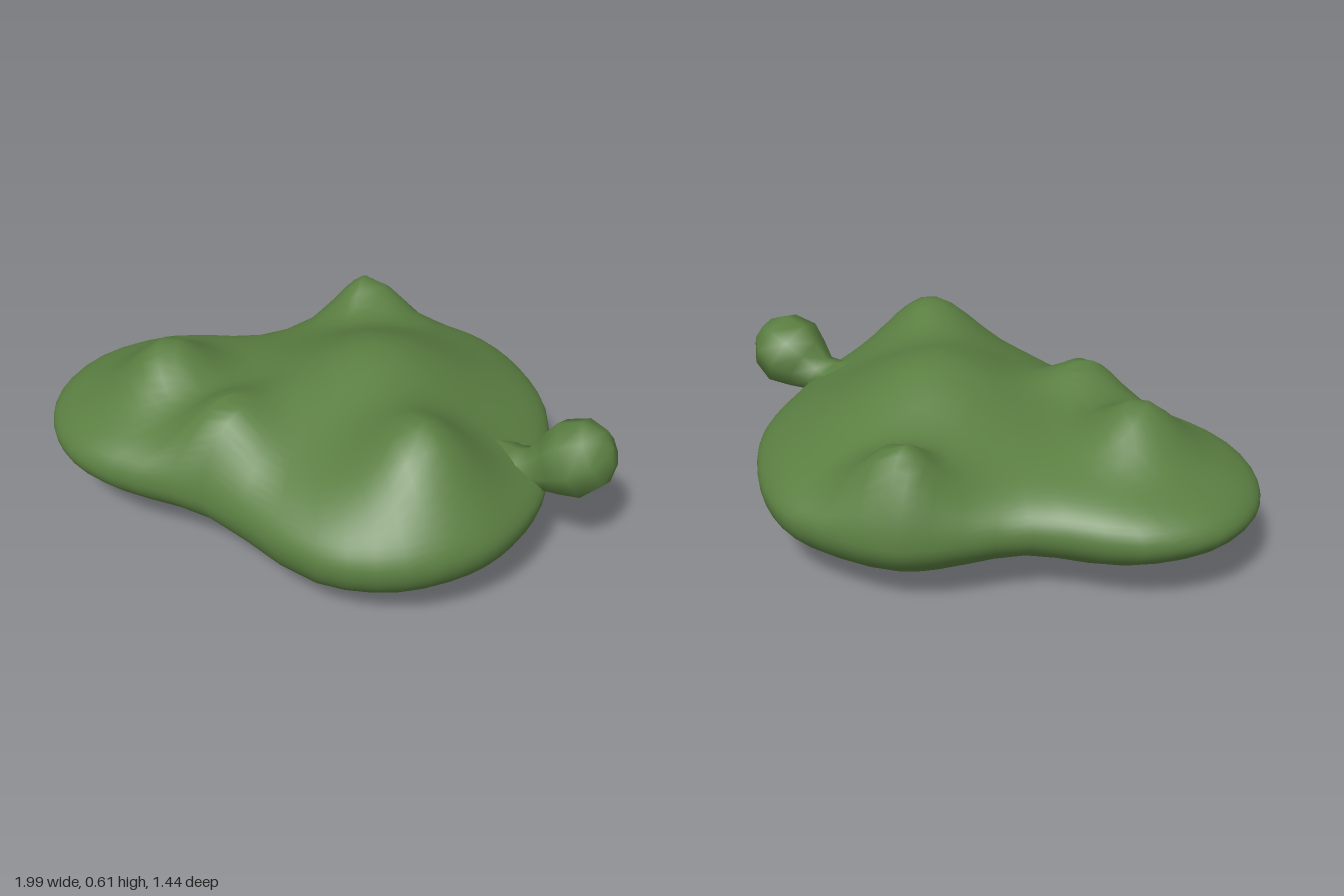
import * as THREE from 'three';
import { mergeVertices } from 'three/addons/utils/BufferGeometryUtils.js';

// Outline of the mound seen from above (x, z), starting at the left tip
const OUTLINE = [
  [-1, 0.13], [-0.97, -0.09], [-0.8, -0.28], [-0.47, -0.4], [-0.23, -0.63], [-0.11, -0.7],
  [0.22, -0.72], [0.36, -0.67], [0.52, -0.53], [0.66, -0.32], [0.74, -0.02], [0.77, 0.17],
  [0.74, 0.36], [0.66, 0.52], [0.47, 0.67], [0.19, 0.71], [-0.28, 0.53], [-0.63, 0.5],
  [-0.8, 0.44], [-0.93, 0.31],
];

// Swellings on the top: x, z, height, radius in x, radius in z
const BUMPS = [
  [0.13, -0.03, 0.2, 0.34, 0.36],
  [0.43, 0.39, 0.21, 0.22, 0.21],
  [-0.58, 0.1, 0.16, 0.16, 0.18],
  [-0.26, 0.36, 0.14, 0.13, 0.18],
  [-0.09, -0.59, 0.2, 0.15, 0.14],
];
const CENTRE = [-0.05, 0.03];

// s runs from 0 at the centre to 1 at the rim
function topHeight(x, z, s, rim) {
  let y = rim + (0.4 - rim) * Math.sqrt(Math.max(0, 1 - s ** 4));
  const mask = Math.sqrt(Math.max(0, 1 - s ** 8));
  for (const [bx, bz, h, rx, rz] of BUMPS) {
    y += mask * h * Math.exp(-(((x - bx) / rx) ** 2) - ((z - bz) / rz) ** 2);
  }
  return y;
}

function bottomHeight(x, s, rim) {
  const base = 0.003 + 0.06 * (1 - THREE.MathUtils.smoothstep(x, -0.45, 0.05));
  return rim - (rim - base) * Math.sqrt(Math.max(0, 1 - s ** 2.5));
}

// Closed lumpy body: rings go from the top centre over the rim to the bottom centre
function moundGeometry() {
  const curve = new THREE.CatmullRomCurve3(
    OUTLINE.map(([x, z]) => new THREE.Vector3(x, 0, z)), true, 'centripetal');
  const sides = 60, rings = 40;
  const positions = [], index = [];
  for (let i = 0; i <= rings; i++) {
    const t = (i / rings) * Math.PI;
    const s = i === rings ? 0 : Math.sin(t);
    for (let j = 0; j < sides; j++) {
      const p = curve.getPoint(j / sides);
      const x = CENTRE[0] + (p.x - CENTRE[0]) * s;
      const z = CENTRE[1] + (p.z - CENTRE[1]) * s;
      const rim = 0.25 + 0.03 * THREE.MathUtils.smoothstep(p.x, 0.2, 0.75);
      const y = i <= rings / 2 ? topHeight(x, z, s, rim) : bottomHeight(x, s, rim);
      positions.push(x, y, z);
      if (i < rings) {
        const a = i * sides + j, b = i * sides + (j + 1) % sides;
        if (i > 0) index.push(a, b, b + sides);
        if (i < rings - 1) index.push(a, b + sides, a + sides);
      }
    }
  }
  const geometry = new THREE.BufferGeometry();
  geometry.setAttribute('position', new THREE.Float32BufferAttribute(positions, 3));
  geometry.setIndex(index);
  const merged = mergeVertices(geometry, 1e-5);
  merged.computeVertexNormals();
  return merged;
}

export function createModel() {
  const model = new THREE.Group();
  const green = new THREE.MeshStandardMaterial({ color: 0x5b7f42 });
  green.name = 'leaf green';

  const mound = new THREE.Mesh(moundGeometry(), green);
  mound.name = 'foliageMound';
  model.add(mound);

  // Side knob on a flared neck, turned around a tilted axis
  const profile = [
    [0.15, -0.03], [0.09, 0.03], [0.075, 0.07], [0.105, 0.13],
    [0.134, 0.2], [0.115, 0.28], [0.06, 0.33], [0, 0.34],
  ].map(([r, y]) => new THREE.Vector2(r, y));
  const knob = new THREE.Mesh(new THREE.LatheGeometry(profile, 8), green);
  knob.name = 'sideKnob';
  knob.position.set(0.665, 0.31, 0.1);
  knob.quaternion.setFromUnitVectors(
    new THREE.Vector3(0, 1, 0), new THREE.Vector3(0.31, 0.17, -0.02).normalize());
  model.add(knob);

  return model;
}
